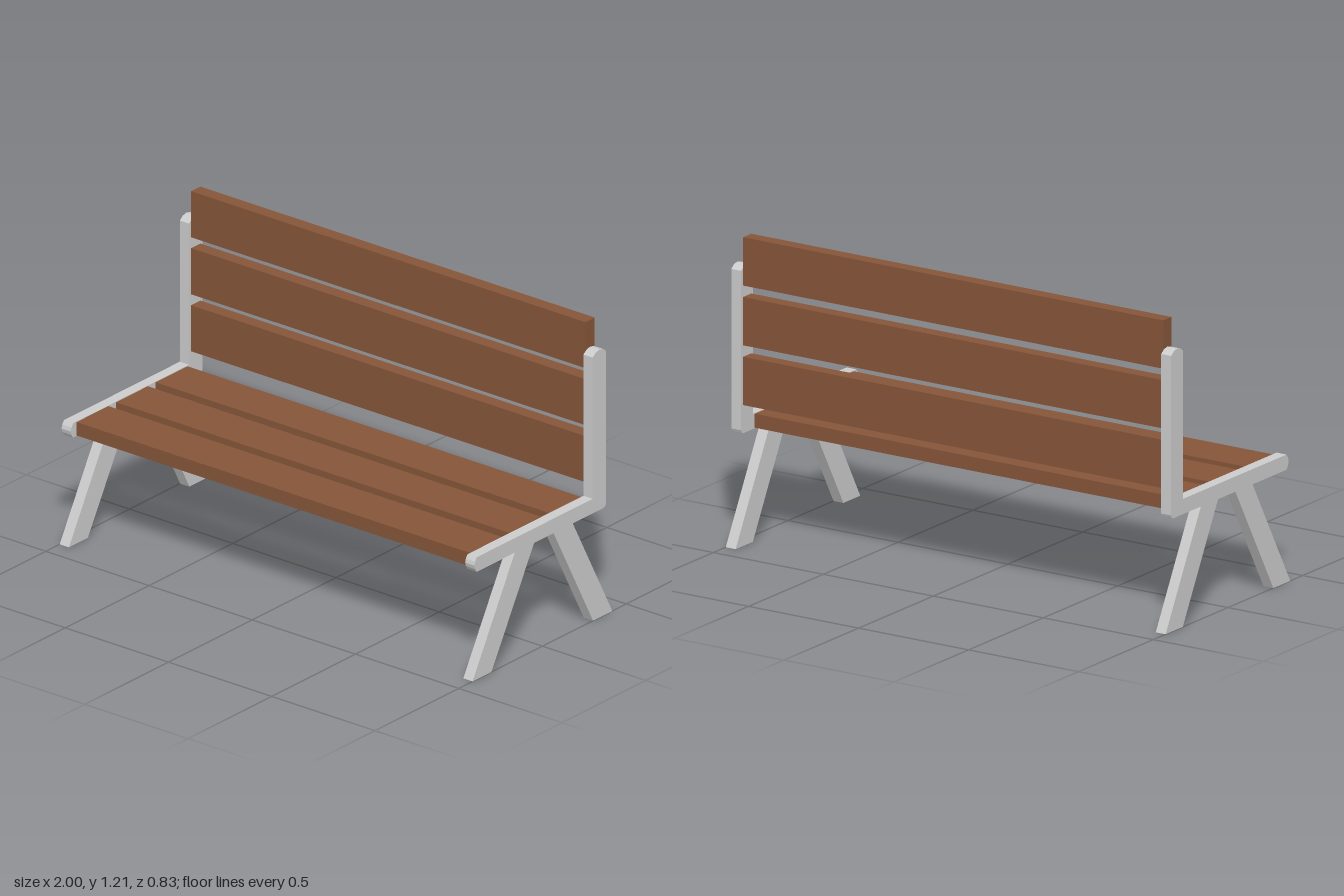
import * as THREE from 'three';

const HALF = 1;         // half the bench length
const FRAME = 0.045;    // thickness of the end frames
const RAIL_Y = 0.443;   // underside of the seat rail

const metal = new THREE.MeshStandardMaterial({ color: 0xcccccc, flatShading: true });
const wood = new THREE.MeshStandardMaterial({ color: 0x855538, flatShading: true });

// Side profile in (z, y), extruded across x and centred on x = 0
function sidePlate(name, points) {
  const shape = new THREE.Shape(points.map(([z, y]) => new THREE.Vector2(z, y)));
  const geometry = new THREE.ExtrudeGeometry(shape, { depth: FRAME, bevelEnabled: false });
  geometry.rotateY(-Math.PI / 2).translate(FRAME / 2, 0, 0);
  const mesh = new THREE.Mesh(geometry, metal);
  mesh.name = name;
  return mesh;
}

// Plank spanning between the two end frames
function plank(name, height, depth, y, z) {
  const mesh = new THREE.Mesh(new THREE.BoxGeometry(2 * (HALF - FRAME), height, depth), wood);
  mesh.name = name;
  mesh.position.set(0, y, z);
  return mesh;
}

function endFrame(name) {
  const frame = new THREE.Group();
  frame.name = name;
  // Seat rail and back post in one piece, with rounded ends
  frame.add(sidePlate('railAndPost', [
    [-0.365, RAIL_Y], [0.392, RAIL_Y], [0.402, 0.458], [0.406, 0.473], [0.402, 0.488], [0.392, 0.503],
    [-0.3, 0.503], [-0.3, 1.085], [-0.318, 1.099], [-0.34, 1.104], [-0.362, 1.099], [-0.38, 1.085],
    [-0.38, 0.458], [-0.375, 0.447],
  ]));
  // Splayed legs
  frame.add(sidePlate('frontLeg', [[0.417, 0], [0.165, RAIL_Y], [0.05, RAIL_Y], [0.304, 0]]));
  frame.add(sidePlate('backLeg', [[-0.417, 0], [-0.302, 0], [-0.066, RAIL_Y], [-0.181, RAIL_Y]]));
  return frame;
}

export function createModel() {
  const bench = new THREE.Group();
  bench.name = 'bench';

  // End frames
  for (const side of [-1, 1]) {
    const frame = endFrame(side > 0 ? 'leftFrame' : 'rightFrame');
    frame.position.x = side * (HALF - FRAME / 2);
    bench.add(frame);
  }

  // Seat and backrest planks
  for (let i = 0; i < 3; i++) {
    bench.add(plank(`seatSlat${i + 1}`, 0.055, 0.19, 0.473, -0.195 + i * 0.236));
    bench.add(plank(`backSlat${i + 1}`, 0.19, 0.055, 0.649 + i * 0.235, -0.34));
  }
  return bench;
}
